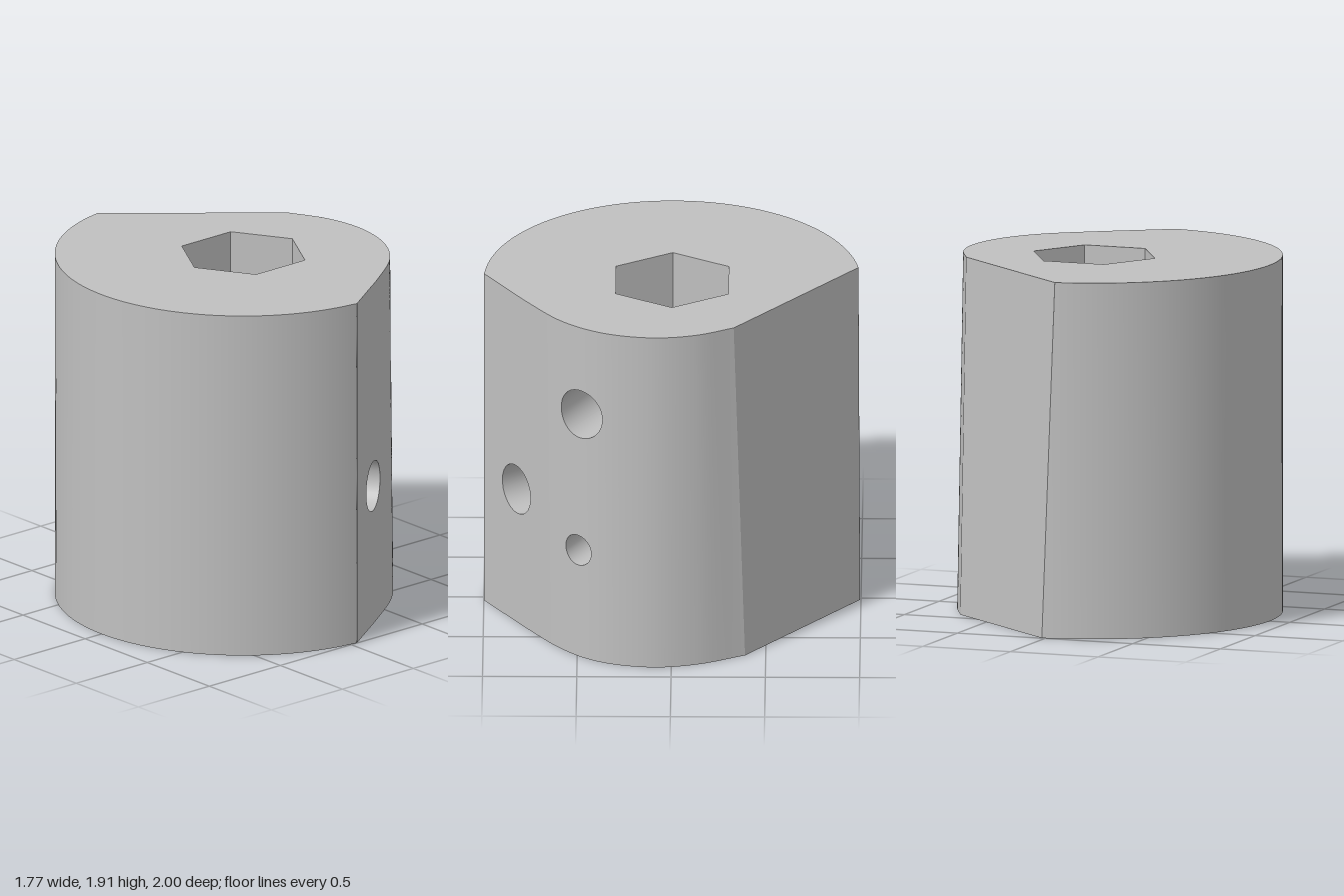
import * as THREE from 'three';

const H = 1.91, CX = 0.115, FLOOR = 1.0, BORE = 0.17, HEX = 0.345, SIDE_LENGTH = 1.77;
const V = (x, y, z) => new THREE.Vector3(x, y, z);

// Curved side outline, from the front edge round to the back flat, at top and bottom
const curve = (pts) => new THREE.CatmullRomCurve3(pts.map(([x, z]) => V(x, 0, z)));
const sideTop = curve([[0.04, 1], [0.22, 0.883], [0.4, 0.765], [0.62, 0.6], [0.735, 0.46],
  [0.81, 0.3], [0.845, 0.08], [0.81, -0.13], [0.715, -0.33]]);
const sideBottom = curve([[0.04, 1], [0.22, 0.883], [0.4, 0.765], [0.63, 0.6], [0.765, 0.46],
  [0.845, 0.3], [0.88, 0.08], [0.84, -0.14], [0.725, -0.39]]);

// Each wall is a surface: u runs round the outline, y goes up
const lerpWall = (bottom, top) => (u, y) => bottom(u).lerp(top(u), y / H).setY(y);
const sideWall = lerpWall((u) => sideBottom.getPointAt(u), (u) => sideTop.getPointAt(u));
const line = (a, b) => (u) => a.clone().lerp(b, u);
const flatWall = lerpWall(line(V(0.725, 0, -0.39), V(0.02, 0, -0.995)),
  line(V(0.715, 0, -0.33), V(-0.05, 0, -0.986)));
const arc = (start) => (u) => {
  const end = Math.PI / 2 + 0.075;
  const t = start + (end - start) * u;
  return V(CX + Math.cos(t), 0, Math.sin(t));
};
const roundWall = lerpWall(arc(Math.PI * 1.5 - 0.095), arc(Math.PI * 1.5 - 0.166));

// Grid of points f(a, b) with a, b in 0..1; normals are optional
function grid(f, na, nb, normalAt) {
  const pos = [], nor = [], index = [];
  for (let i = 0; i <= na; i++) {
    for (let j = 0; j <= nb; j++) {
      pos.push(...f(i / na, j / nb).toArray());
      if (normalAt) nor.push(...normalAt(i / na, j / nb).toArray());
      if (i < na && j < nb) {
        const p = i * (nb + 1) + j, q = p + nb + 1;
        index.push(p, q, q + 1, p, q + 1, p + 1);
      }
    }
  }
  const g = new THREE.BufferGeometry();
  g.setAttribute('position', new THREE.Float32BufferAttribute(pos, 3));
  g.setIndex(index);
  if (normalAt) g.setAttribute('normal', new THREE.Float32BufferAttribute(nor, 3));
  else g.computeVertexNormals();
  return g;
}

// Patch of a wall, where map(a, b) gives [u, y]
function wallPatch(wall, map, na, nb) {
  const normalAt = (a, b) => {
    const [u, y] = map(a, b), e = 0.004;
    const du = wall(Math.min(1, u + e), y).sub(wall(Math.max(0, u - e), y));
    const dy = wall(u, y + e).sub(wall(u, y - e));
    return du.cross(dy).normalize();
  };
  return grid((a, b) => wall(...map(a, b)), na, nb, normalAt);
}
const rect = (u0, u1, y0, y1) => (a, b) => [u0 + (u1 - u0) * a, y0 + (y1 - y0) * b];

// Point of the rectangle's rim, counter-clockwise
function rim(u0, u1, y0, y1, b) {
  const k = Math.min(3, Math.floor(b * 4 + 1e-9)), t = b * 4 - k;
  const c = [[u0, y0], [u1, y0], [u1, y1], [u0, y1]];
  const p = c[k], q = c[(k + 1) % 4];
  return [p[0] + (q[0] - p[0]) * t, p[1] + (q[1] - p[1]) * t];
}

export function createModel() {
  const model = new THREE.Group();
  const grey = new THREE.MeshStandardMaterial({ color: 0xc0c0c0, side: THREE.DoubleSide });
  grey.name = 'grey';
  const add = (name, geometry) => {
    const mesh = new THREE.Mesh(geometry, grey);
    mesh.name = name;
    model.add(mesh);
    return mesh;
  };

  // Outer walls
  add('roundWall', wallPatch(roundWall, rect(0, 1, 0, H), 72, 2));
  add('backFlat', wallPatch(flatWall, rect(0, 1, 0, H), 8, 8));
  add('sideWall', wallPatch(sideWall, rect(0.65, 1, 0, H), 24, 2));

  // Wall panels with a round blind hole: rectangle, hole centre, radius, axis, depth
  const holes = [
    { name: 'frontHole', box: [0, 0.34, 0, H], u: 0.18, y: 0.775, r: 0.137, axis: V(0.53, 0, 0.85), depth: 0.6 },
    { name: 'upperHole', box: [0.34, 0.65, 1, H], u: 0.495, y: 1.408, r: 0.137, axis: V(0.85, 0, 0.53), depth: 0.45 },
    { name: 'lowerHole', box: [0.34, 0.65, 0, 1], u: 0.48, y: 0.615, r: 0.086, axis: V(0.85, 0, 0.53), depth: 0.45 },
  ];
  for (const { name, box, u, y, r, axis, depth } of holes) {
    axis.normalize();
    const edge = (b) => {
      const [ru, ry] = rim(...box, b);
      const t = Math.atan2(ry - y, (ru - u) * SIDE_LENGTH);
      return [u + r * Math.cos(t) / SIDE_LENGTH, y + r * Math.sin(t)];
    };
    const panel = (a, b) => {
      const p = edge(b), q = rim(...box, b);
      return [p[0] + (q[0] - p[0]) * a, p[1] + (q[1] - p[1]) * a];
    };
    add(name + 'Panel', wallPatch(sideWall, panel, 10, 80));

    const centre = sideWall(u, y);
    const inner = centre.clone().addScaledVector(axis, -depth);
    const mouth = (b) => sideWall(...edge(b));
    const end = (b) => {
      const p = mouth(b);
      return p.addScaledVector(axis, -depth - p.clone().sub(centre).dot(axis));
    };
    add(name, grid((a, b) => end(b).lerp(mouth(b), a), 1, 80));
    add(name + 'End', grid((a, b) => inner.clone().lerp(end(b), a), 1, 80));
  }

  // Flat faces: outline at one height with a hole in it
  const ring = (n, r) => Array.from({ length: n }, (_, i) => {
    const t = (i / n) * Math.PI * 2;
    return V(CX + r * Math.cos(t), 0, r * Math.sin(t));
  });
  const outline = (y) => [[sideWall, 64], [flatWall, 1], [roundWall, 72]].flatMap(
    ([wall, n]) => Array.from({ length: n }, (_, i) => wall(i / n, y)));
  const face = (name, outer, hole, y, up) => {
    const to2D = (pts) => pts.map((p) => new THREE.Vector2(p.x, up ? -p.z : p.z));
    const shape = new THREE.Shape(to2D(outer));
    shape.holes.push(new THREE.Path(to2D(hole)));
    const g = new THREE.ShapeGeometry(shape);
    g.rotateX(up ? -Math.PI / 2 : Math.PI / 2);
    add(name, g.translate(0, y, 0));
  };
  face('topFace', outline(H), ring(6, HEX), H, true);
  face('bottomFace', outline(0), ring(48, BORE), 0, false);
  face('pocketFloor', ring(6, HEX), ring(48, BORE), FLOOR, true);

  // Six-sided pocket and round bore below it
  const hex = new THREE.CylinderGeometry(HEX, HEX, H - FLOOR, 6, 1, true, Math.PI / 2).toNonIndexed();
  hex.computeVertexNormals();
  add('hexPocket', hex).position.set(CX, (H + FLOOR) / 2, 0);
  add('bore', new THREE.CylinderGeometry(BORE, BORE, FLOOR, 48, 1, true)).position.set(CX, FLOOR / 2, 0);

  return model;
}
